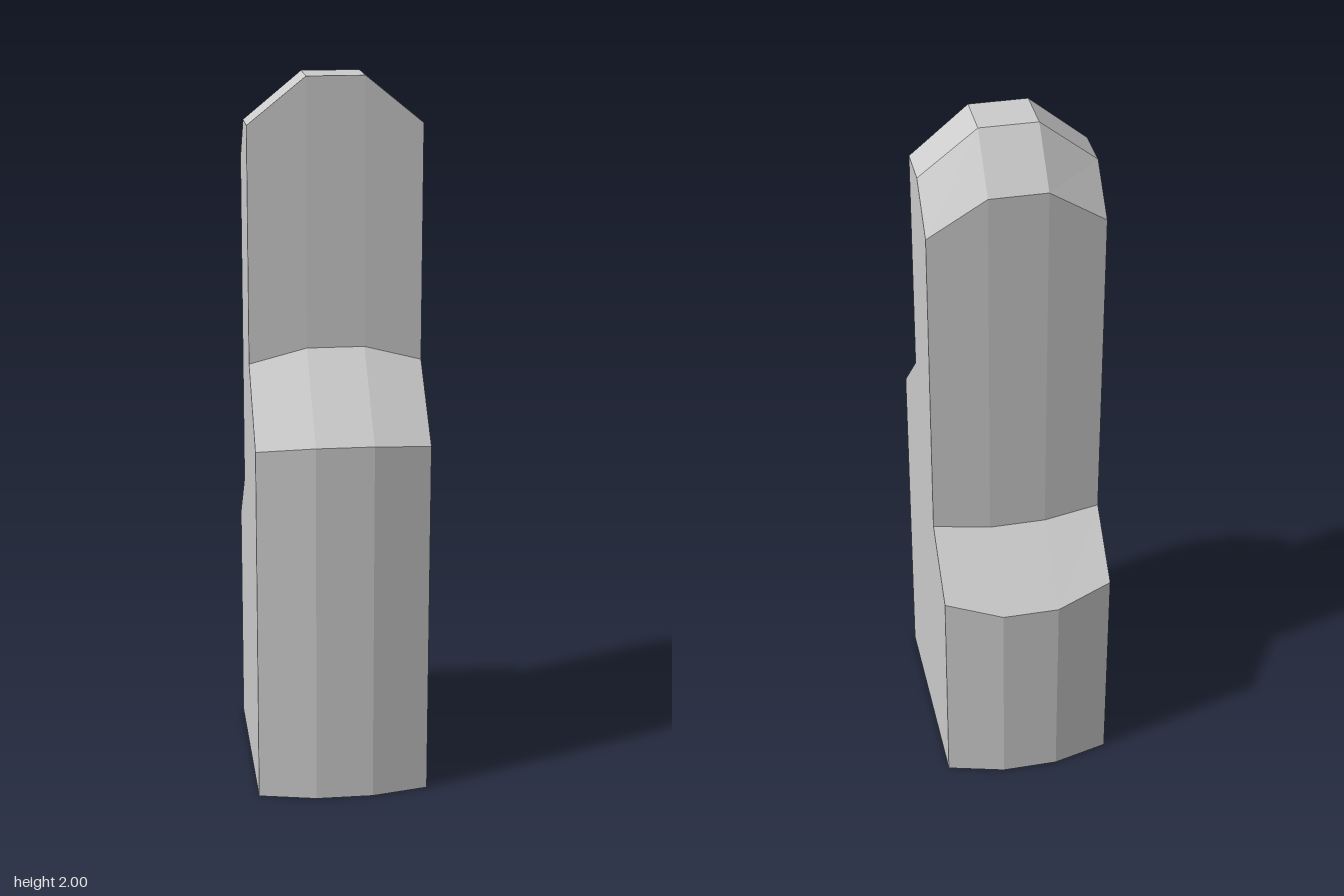
import * as THREE from 'three';

// Side outlines as [z, y], running up the front, over the top and down the back
const INNER = [[0.337, 0], [0.337, 1.033], [0.11, 1.255], [0.11, 2], [-0.023, 2],
  [-0.148, 1.862], [-0.148, 0.79], [-0.337, 0.612], [-0.337, 0]];
const OUTER = [[0.302, 0], [0.302, 1.018], [0.103, 1.212], [0.103, 1.87], [-0.017, 1.87],
  [-0.13, 1.752], [-0.13, 0.805], [-0.295, 0.65], [-0.295, 0]];

// Cross-sections from right to left
const SECTIONS = [[-0.24, OUTER], [-0.08, INNER], [0.08, INNER], [0.24, OUTER]];

function loftGeometry(sections) {
  const positions = [];
  const rings = sections.map(([x, outline]) => outline.map(([z, y]) => [x, y, z]));
  const triangle = (a, b, c) => positions.push(...a, ...b, ...c);

  // Bands between neighbouring sections, including the underside
  for (let s = 0; s < rings.length - 1; s++) {
    const a = rings[s], b = rings[s + 1];
    for (let i = 0; i < a.length; i++) {
      const j = (i + 1) % a.length;
      triangle(a[i], b[i], b[j]);
      triangle(a[i], b[j], a[j]);
    }
  }

  // Flat side walls, wound to face outward
  for (const [ring, side] of [[rings[0], -1], [rings[rings.length - 1], 1]]) {
    const flat = ring.map(([, y, z]) => new THREE.Vector2(-z, y));
    for (const [i, j, k] of THREE.ShapeUtils.triangulateShape(flat, [])) {
      const facing = THREE.ShapeUtils.area([flat[i], flat[j], flat[k]]) * side;
      if (facing > 0) triangle(ring[i], ring[j], ring[k]);
      else triangle(ring[i], ring[k], ring[j]);
    }
  }

  const geometry = new THREE.BufferGeometry();
  geometry.setAttribute('position', new THREE.Float32BufferAttribute(positions, 3));
  geometry.computeVertexNormals();
  return geometry;
}

export function createModel() {
  const group = new THREE.Group();
  group.name = 'steppedTower';
  const material = new THREE.MeshStandardMaterial({ color: 0xcccccc, flatShading: true });
  const body = new THREE.Mesh(loftGeometry(SECTIONS), material);
  body.name = 'towerBody';
  group.add(body);
  return group;
}
